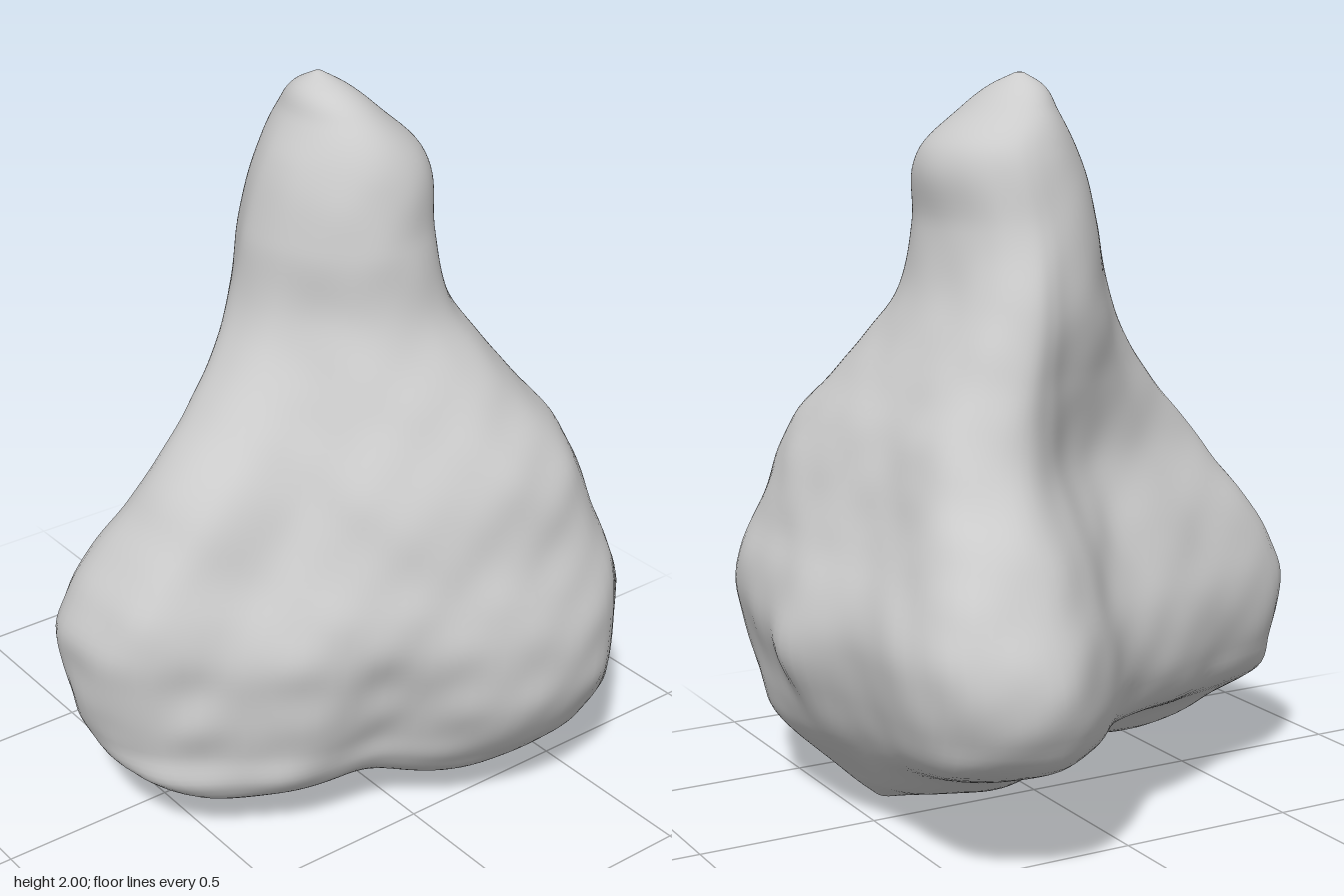
import * as THREE from 'three';

// Plan outline of the three-lobed base, as [x, z]
const PLAN = [
  [-0.76, 0], [-0.73, -0.16], [-0.42, -0.3], [-0.17, -0.42], [0, -0.5], [0.15, -0.65],
  [0.3, -0.755], [0.42, -0.755], [0.58, -0.66], [0.65, -0.48], [0.66, -0.2], [0.69, 0.05],
  [0.7, 0.3], [0.65, 0.53], [0.5, 0.72], [0.25, 0.75], [0, 0.68], [-0.28, 0.54],
  [-0.5, 0.35], [-0.7, 0.18],
];

// Height, then the extents x min, x max, z min, z max and how lobed the section is
const LEVELS = [
  [0.0, 0.33, 0.4, 0.15, 0.23, 0],
  [0.05, 0.0, 0.46, -0.02, 0.4, 0.3],
  [0.1, -0.42, 0.51, -0.2, 0.52, 0.8],
  [0.2, -0.67, 0.61, -0.4, 0.64, 1],
  [0.3, -0.725, 0.66, -0.65, 0.71, 1],
  [0.4, -0.75, 0.68, -0.73, 0.75, 1],
  [0.5, -0.755, 0.7, -0.755, 0.755, 1],
  [0.6, -0.755, 0.71, -0.74, 0.75, 1],
  [0.7, -0.72, 0.7, -0.69, 0.72, 1],
  [0.8, -0.66, 0.66, -0.63, 0.68, 1],
  [1.0, -0.52, 0.59, -0.48, 0.62, 0.95],
  [1.2, -0.33, 0.47, -0.41, 0.48, 0.7],
  [1.4, -0.2, 0.36, -0.36, 0.34, 0.4],
  [1.6, -0.16, 0.31, -0.29, 0.3, 0.2],
  [1.8, -0.1, 0.3, -0.23, 0.25, 0.1],
  [1.9, -0.04, 0.2, -0.17, 0.17, 0],
  [1.97, 0.0, 0.12, -0.1, 0.07, 0],
  [2.0, 0.05, 0.07, -0.04, -0.02, 0],
];

// Hollows between the lobes: direction [x, z], height, spread in height, depth
const HOLLOWS = [
  [-0.16, -0.42, 0.85, 0.2, 0.12],
  [-0.16, 0.55, 0.32, 0.28, 0.14],
  [-0.3, 0.36, 1.02, 0.25, 0.11],
  [0.55, -0.27, 0.85, 0.28, 0.09],
  [0.55, -0.27, 0.15, 0.18, 0.1],
];

const bell = (d, spread) => Math.exp(-(d * d) / (spread * spread));

// Gentle uneven weathering: three sizes of rounded lumps
function weathering(x, y, z) {
  const lumps = (f, s) => Math.sin(f * x + s) * Math.sin(f * y + 2 * s) + Math.sin(f * z + 3 * s) * Math.sin(f * (x - y) * 0.7 + s);
  return 0.007 * lumps(9, 1) + 0.007 * lumps(17, 2.3) + 0.003 * lumps(31, 0.7);
}

function createRock() {
  const around = 120, rows = 110;
  const outline = new THREE.CatmullRomCurve3(
    PLAN.map(([x, z]) => new THREE.Vector3(x, 0, z)), true);
  const plan = outline.getSpacedPoints(around).slice(0, around);
  const extents = new THREE.CubicInterpolant(
    LEVELS.map((l) => l[0]), LEVELS.flatMap((l) => l.slice(1)), 5);
  const positions = [], indices = [];

  for (let j = 0; j <= rows; j++) {
    // Rows gather at the rounded top and bottom
    const t = j / rows;
    const y = 2 * (0.4 * t + 0.6 * (0.5 - 0.5 * Math.cos(Math.PI * t)));
    const [x0, x1, z0, z1, lobed] = extents.evaluate(y);

    // Blend a round section with the lobed plan, then fit it to the extents
    const ring = plan.map((p) => {
      const a = Math.atan2(p.z, p.x - 0.05);
      return new THREE.Vector3(Math.cos(a) * 0.75, y, Math.sin(a) * 0.75).lerp(
        new THREE.Vector3(p.x, y, p.z), lobed);
    });
    const box = new THREE.Box3().setFromPoints(ring);
    for (const p of ring) {
      p.x = THREE.MathUtils.mapLinear(p.x, box.min.x, box.max.x, x0, x1);
      p.z = THREE.MathUtils.mapLinear(p.z, box.min.z, box.max.z, z0, z1);
      const a = Math.atan2(p.z, p.x - 0.08);
      let scale = 1;
      for (const [hx, hz, hy, spread, depth] of HOLLOWS) {
        const turn = a - Math.atan2(hz, hx - 0.08);
        const d = Math.atan2(Math.sin(turn), Math.cos(turn));
        scale -= depth * bell(d, 0.33) * bell(y - hy, spread);
      }
      // Blunt spur on the +x side
      scale += 0.1 * bell(a - 0.07, 0.18) * bell(y - 0.47, 0.14);
      const fade = Math.min(1, y * 4, (2 - y) * 4);
      scale += fade * weathering(p.x, y, p.z);
      // Shallow arch under the foot
      const lift = 0.05 * bell(p.x + 0.12, 0.17) * bell(y, 0.25);
      positions.push(0.08 + (p.x - 0.08) * scale, y + lift, p.z * scale);
    }
  }

  for (let j = 0; j < rows; j++) {
    for (let i = 0; i < around; i++) {
      const k = (i + 1) % around;
      const a = j * around + i, b = j * around + k;
      indices.push(a, a + around, b, b, a + around, b + around);
    }
  }

  // Close the foot and the tip
  for (const [row, level, top] of [[0, LEVELS[0], false], [rows, LEVELS.at(-1), true]]) {
    const [y, x0, x1, z0, z1] = level;
    const c = positions.length / 3;
    positions.push((x0 + x1) / 2, y, (z0 + z1) / 2);
    for (let i = 0; i < around; i++) {
      const a = row * around + i, b = row * around + ((i + 1) % around);
      if (top) indices.push(b, a, c);
      else indices.push(a, b, c);
    }
  }

  const geometry = new THREE.BufferGeometry();
  geometry.setAttribute('position', new THREE.Float32BufferAttribute(positions, 3));
  geometry.setIndex(indices);
  geometry.computeVertexNormals();
  return geometry;
}

export function createModel() {
  const group = new THREE.Group();
  group.name = 'rock';
  const body = new THREE.Mesh(createRock(), new THREE.MeshStandardMaterial({ color: 0xcccccc }));
  body.name = 'threeLobedRock';
  group.add(body);
  return group;
}
